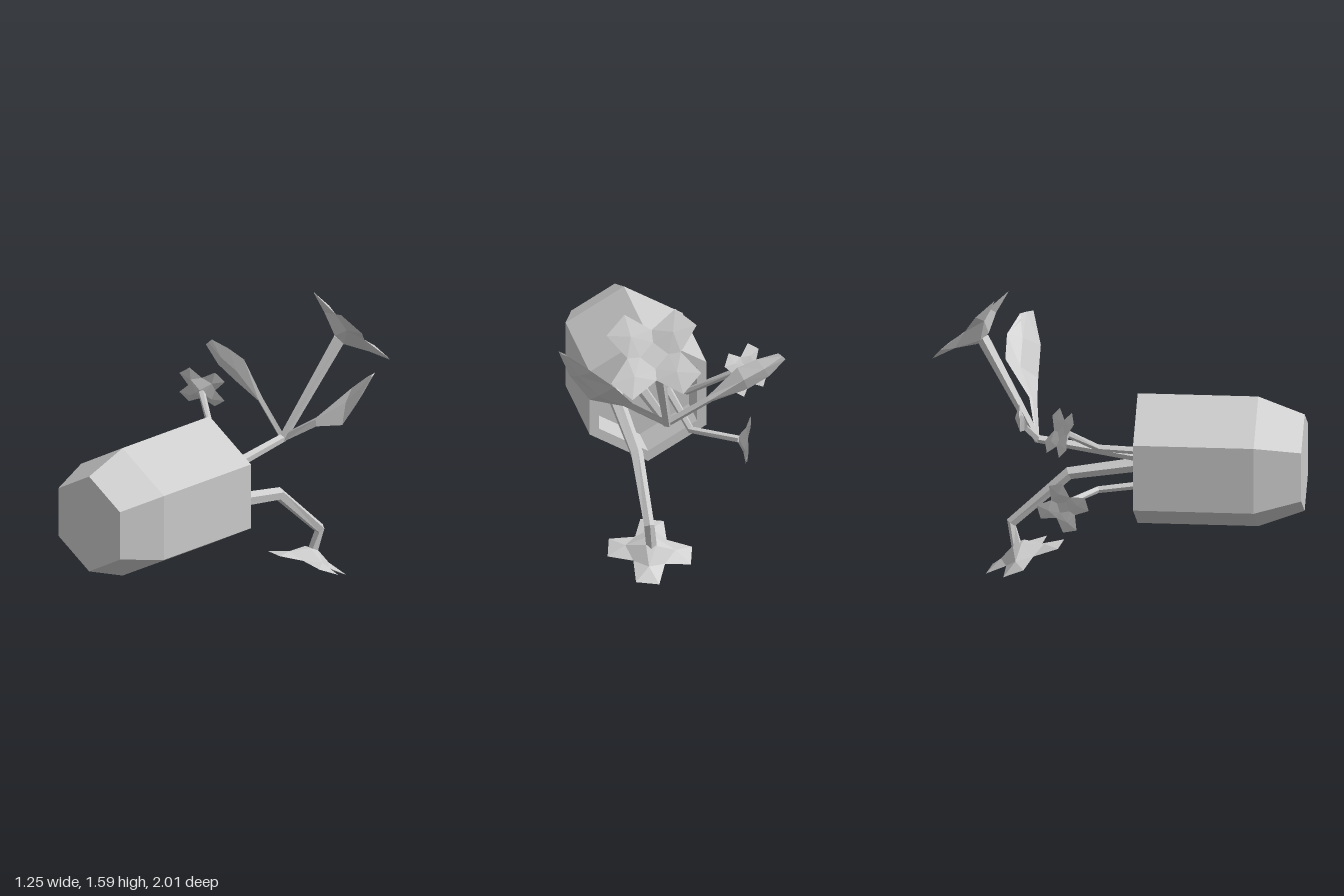
import * as THREE from 'three';

const V = (x, y, z) => new THREE.Vector3(x, y, z);
const material = new THREE.MeshStandardMaterial({ color: 0xcccccc, flatShading: true, side: THREE.DoubleSide });

function makeMesh(geometry, name) {
  const mesh = new THREE.Mesh(geometry, material);
  mesh.name = name;
  return mesh;
}

// Geometry from polygons (arrays of Vector3), each split as a fan
function fromPolygons(polygons) {
  const pts = [];
  for (const p of polygons)
    for (let i = 1; i < p.length - 1; i++) pts.push(p[0], p[i], p[i + 1]);
  const geometry = new THREE.BufferGeometry().setFromPoints(pts);
  geometry.computeVertexNormals();
  return geometry;
}

// Closed skin through rings of equal point count, capped at both ends
function loft(rings) {
  const polygons = [[...rings[0]].reverse(), rings[rings.length - 1]];
  for (let i = 0; i < rings.length - 1; i++) {
    const a = rings[i], b = rings[i + 1];
    a.forEach((p, j) => {
      const k = (j + 1) % a.length;
      polygons.push([p, a[k], b[k], b[j]]);
    });
  }
  return fromPolygons(polygons);
}

// Bent stem: a five-sided ring at each point of the path
function stem(name, path, radii) {
  const points = path.map(p => V(...p));
  const rings = points.map((p, i) => {
    const before = points[Math.max(i - 1, 0)], after = points[Math.min(i + 1, points.length - 1)];
    const t = after.clone().sub(before).normalize();
    const u = V(1, 0.2, 0.1).cross(t).normalize();
    const w = t.clone().cross(u);
    return Array.from({ length: 5 }, (_, j) => {
      const a = j / 5 * Math.PI * 2;
      return p.clone().addScaledVector(u, radii[i] * Math.cos(a)).addScaledVector(w, radii[i] * Math.sin(a));
    });
  });
  return makeMesh(loft(rings), name);
}

// Leaf: each section is [one edge, other edge, half thickness]
function leaf(name, sections, normal) {
  const n = V(...normal).normalize();
  const rings = sections.map(([a, b, h]) => {
    const A = V(...a), B = V(...b), mid = A.clone().lerp(B, 0.5);
    return [A, mid.clone().addScaledVector(n, h), B, mid.clone().addScaledVector(n, -h)];
  });
  return makeMesh(loft(rings), name);
}

// Four-petal flower with a funnel underside; size = centre to petal tip
function flower(name, center, normal, petalDirection, size) {
  const n = V(...normal).normalize();
  const e = V(...petalDirection);
  e.addScaledVector(n, -e.dot(n)).normalize();
  const f = n.clone().cross(e);
  const polygons = [], heart = [], base = [];
  for (let k = 0; k < 4; k++) {
    const c = Math.cos(k * Math.PI / 2), s = Math.sin(k * Math.PI / 2);
    // x along the petal, y across it, h along the flower normal
    const P = (x, y, h) => V(0, 0, 0)
      .addScaledVector(e, x * c - y * s).addScaledVector(f, x * s + y * c).addScaledVector(n, h);
    const tips = [P(1, -0.28, 0.05), P(1, 0.28, 0.05)];
    const notches = [P(0.38, -0.38, 0), P(0.38, 0.38, 0)];
    const inner = [P(0.2, -0.2, -0.03), P(0.2, 0.2, -0.03)];
    const low = [P(0.12, -0.12, -0.32), P(0.12, 0.12, -0.32)];
    const face = [inner[0], notches[0], tips[0], tips[1], notches[1], inner[1]];
    const back = [low[0], notches[0], tips[0], tips[1], notches[1], low[1]];
    const top = P(0.6, 0, 0.06), under = P(0.6, 0, -0.1);
    for (let i = 0; i < 6; i++) {
      const j = (i + 1) % 6;
      polygons.push([top, face[i], face[j]]);
      polygons.push([under, back[j], back[i]]);
    }
    heart.push(inner[1]);
    base.push(low[1]);
  }
  polygons.push(heart, base.reverse());
  const mesh = makeMesh(fromPolygons(polygons), name);
  mesh.scale.setScalar(size);
  mesh.position.set(...center);
  return mesh;
}

export function createModel() {
  const model = new THREE.Group();
  model.name = 'tippedFlowerPot';

  // Hollow hexagonal pot lying on its side, mouth to the back
  const profile = [[0, 0.32], [0.31, 0.32], [0.31, 0.1], [0.37, 0.1], [0.37, 0.75], [0.275, 1], [0, 1]]
    .map(p => new THREE.Vector2(...p));
  const pot = makeMesh(new THREE.LatheGeometry(profile, 6).rotateX(Math.PI / 2), 'pot');
  pot.position.set(0.005, 0.725, 0);
  model.add(pot);

  // Stems
  model.add(
    stem('tallStem', [[0.01, 0.7, 0.34], [0.01, 0.82, -0.44], [0.13, 1.345, -0.745]], [0.034, 0.025, 0.036]),
    stem('droopingStem', [[0.15, 0.68, 0.34], [0.145, 0.58, -0.28], [0.14, 0.29, -0.59], [0.12, 0.16, -0.56]],
      [0.045, 0.036, 0.03, 0.03]),
    stem('upperSideStem', [[-0.14, 0.81, 0.34], [-0.165, 0.84, -0.1], [-0.42, 1.01, -0.25]], [0.024, 0.02, 0.02]),
    stem('lowerSideStem', [[-0.15, 0.66, 0.34], [-0.19, 0.61, -0.1], [-0.42, 0.605, -0.26]], [0.024, 0.02, 0.02])
  );

  // Flowers
  model.add(
    flower('tallFlower', [0.155, 1.396, -0.804], [0.235, 0.68, -0.68], [0.18, 0.115, 0.175], 0.27),
    flower('droopingFlower', [0.12, 0.115, -0.52], [0, -0.9, 0.43], [0.05, -0.09, -0.19], 0.225),
    flower('upperSideFlower', [-0.45, 1.02, -0.28], [-0.45, 0.36, -0.8], [0.11, 0.06, 0], 0.14),
    flower('lowerSideFlower', [-0.465, 0.6, -0.265], [-1, -0.1, -0.2], [0, 0.13, -0.035], 0.14)
  );

  // Leaves growing from the bend of the tall stem
  model.add(
    leaf('leftLeaf', [
      [[0.02, 0.8, -0.43], [0, 0.835, -0.45], 0.015],
      [[0.25, 0.95, -0.46], [0.21, 0.98, -0.5], 0.015],
      [[0.44, 1.01, -0.47], [0.34, 1.15, -0.64], 0.025],
      [[0.55, 1.16, -0.465], [0.46, 1.25, -0.64], 0.02],
      [[0.62, 1.33, -0.51], [0.58, 1.325, -0.58], 0.005]
    ], [-0.65, 0.6, -0.25]),
    leaf('rightLeaf', [
      [[0, 0.8, -0.44], [0.02, 0.84, -0.44], 0.015],
      [[-0.23, 0.95, -0.49], [-0.2, 0.98, -0.49], 0.015],
      [[-0.42, 1.01, -0.5], [-0.36, 1.145, -0.51], 0.025],
      [[-0.54, 1.07, -0.49], [-0.47, 1.18, -0.5], 0.02],
      [[-0.63, 1.16, -0.485], [-0.59, 1.2, -0.49], 0.005]
    ], [0.1, 0, 1])
  );
  return model;
}
